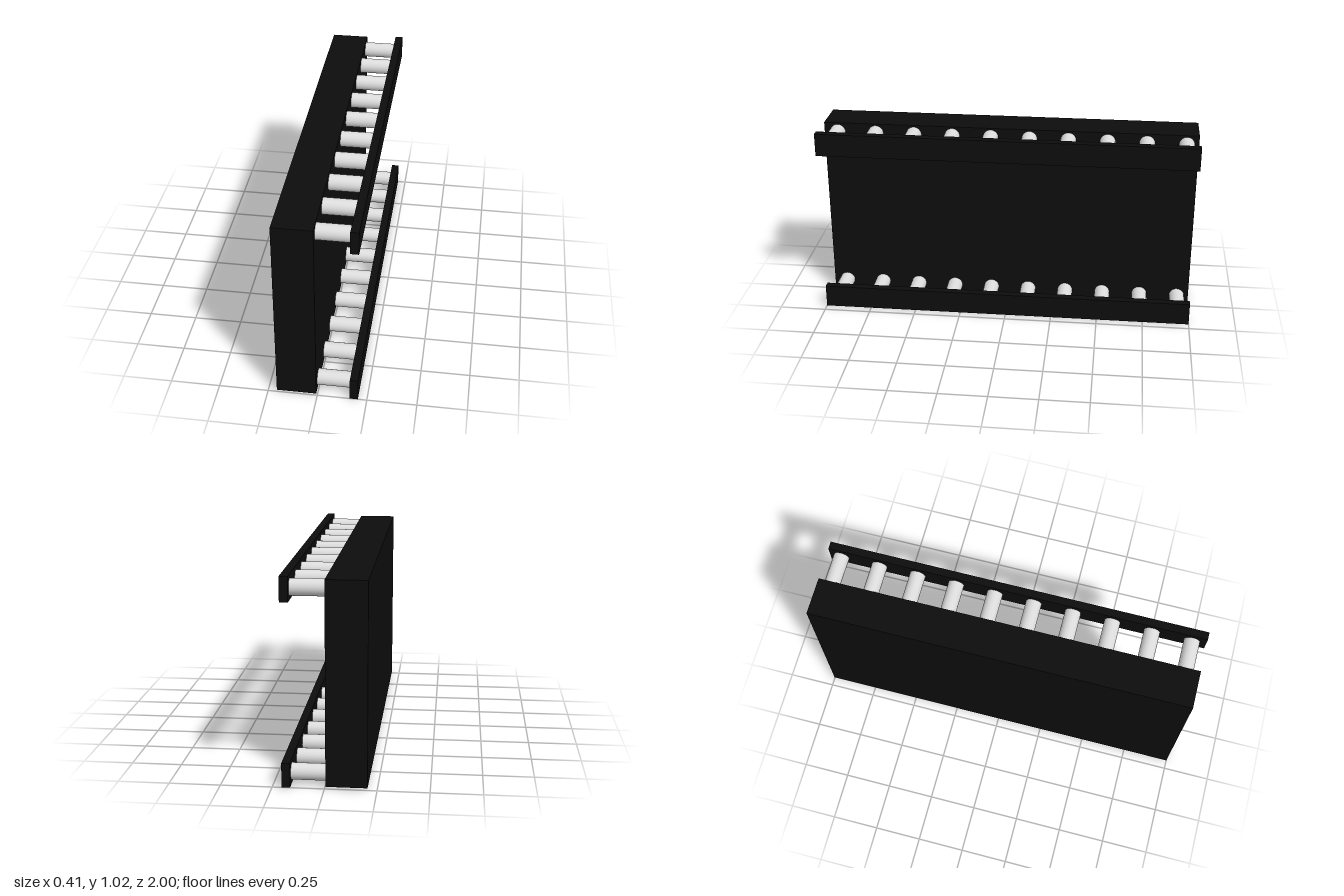
import * as THREE from 'three';

export function createModel() {
  const group = new THREE.Group();
  const black = new THREE.MeshStandardMaterial({ color: 0x0d0d0d });
  black.name = 'black';
  const lightGrey = new THREE.MeshStandardMaterial({ color: 0xdddddd });
  lightGrey.name = 'light grey';

  const add = (name, geometry, material, x, y, z) => {
    const mesh = new THREE.Mesh(geometry, material);
    mesh.name = name;
    mesh.position.set(x, y, z);
    group.add(mesh);
  };

  // Solid upright panel
  add('panel', new THREE.BoxGeometry(0.2, 1, 2), black, -0.105, 0.511, 0);

  const railGeometry = new THREE.BoxGeometry(0.041, 0.122, 2);
  const pegGeometry = new THREE.CylinderGeometry(0.041, 0.041, 0.169, 32).rotateZ(Math.PI / 2);

  // Lower and upper rails, each held off the panel by a row of round pegs
  for (const [label, y] of [['lower', 0.061], ['upper', 0.961]]) {
    add(label + 'Rail', railGeometry, black, 0.1845, y, 0);
    for (let i = 0; i < 10; i++) {
      add(label + 'Peg' + (i + 1), pegGeometry, lightGrey, 0.0795, y, -0.936 + i * 0.207);
    }
  }
  return group;
}
